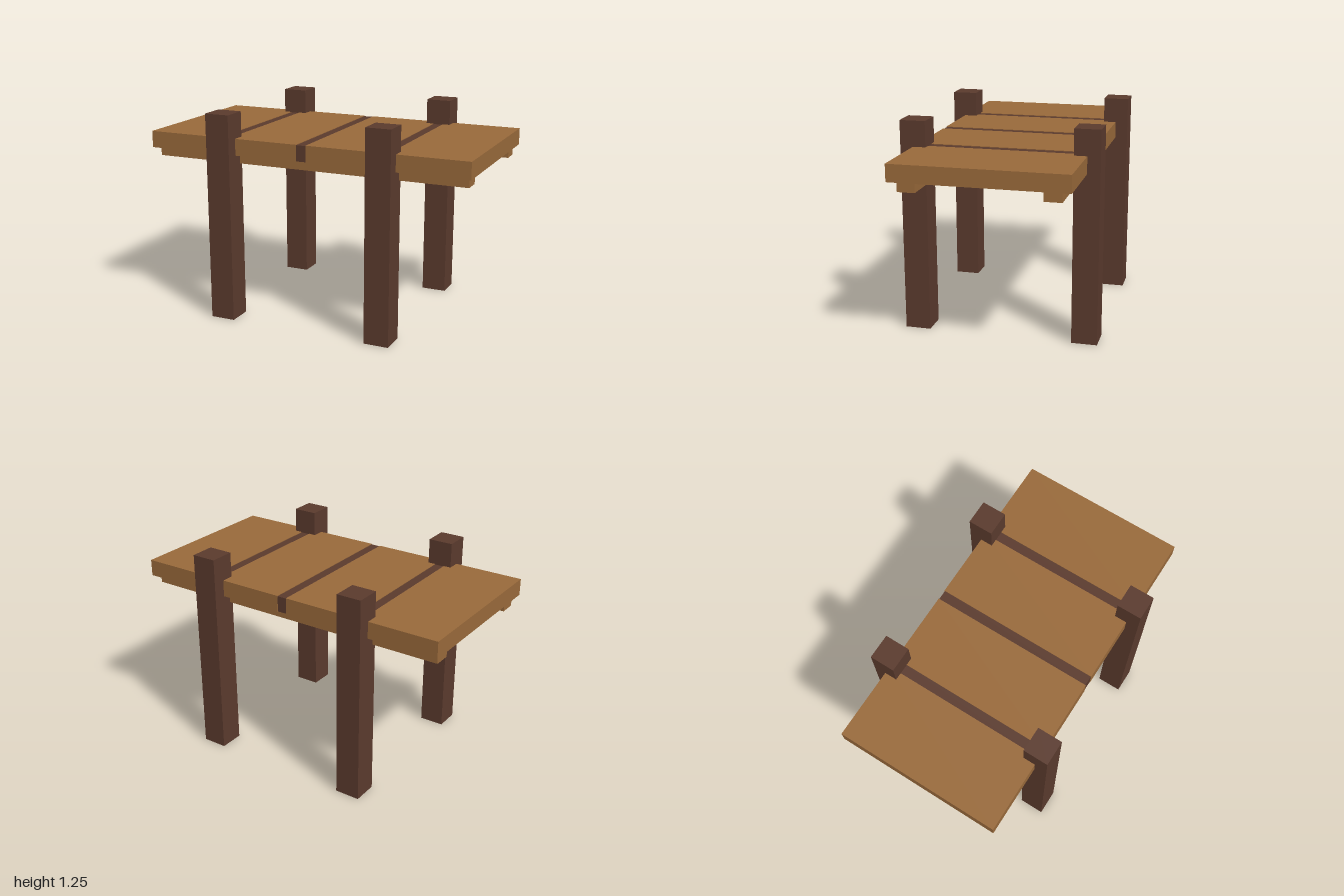
import * as THREE from 'three';

export function createModel() {
  const dock = new THREE.Group();
  dock.name = 'dock';
  const plankWood = new THREE.MeshStandardMaterial({ color: 0x98693a });
  plankWood.name = 'plankWood';
  const darkWood = new THREE.MeshStandardMaterial({ color: 0x5a3a2d });
  darkWood.name = 'darkWood';

  // Box given by its minimum and maximum along each axis
  function box(name, material, [x0, x1], [y0, y1], [z0, z1]) {
    const mesh = new THREE.Mesh(new THREE.BoxGeometry(x1 - x0, y1 - y0, z1 - z0), material);
    mesh.position.set((x0 + x1) / 2, (y0 + y1) / 2, (z0 + z1) / 2);
    mesh.name = name;
    dock.add(mesh);
  }

  // Deck planks, separated by narrow seams
  const planks = [[-1, -0.53], [-0.47, -0.03], [0.03, 0.47], [0.53, 1]];
  for (const span of planks) box('deckPlank', plankWood, span, [1, 1.1], [-0.5, 0.5]);

  // Dark filler strips, slightly recessed in the seams
  for (const x of [-0.5, 0, 0.5]) {
    box('seamStrip', darkWood, [x - 0.03, x + 0.03], [1.003, 1.097], [-0.497, 0.497]);
  }

  // Long beams under the front and back edges
  for (const z of [-0.398, 0.398]) {
    box('longBeam', plankWood, [-0.975, 0.975], [0.943, 1], [z - 0.05, z + 0.05]);
  }

  for (const x of [-0.5, 0.5]) {
    // Cross beam between the long beams
    box('crossBeam', plankWood, [x - 0.05, x + 0.05], [0.952, 1], [-0.348, 0.348]);
    // Corner posts
    for (const z of [-0.5, 0.5]) {
      box('post', darkWood, [x - 0.075, x + 0.075], [0, 1.25], [z - 0.075, z + 0.075]);
    }
  }
  return dock;
}
